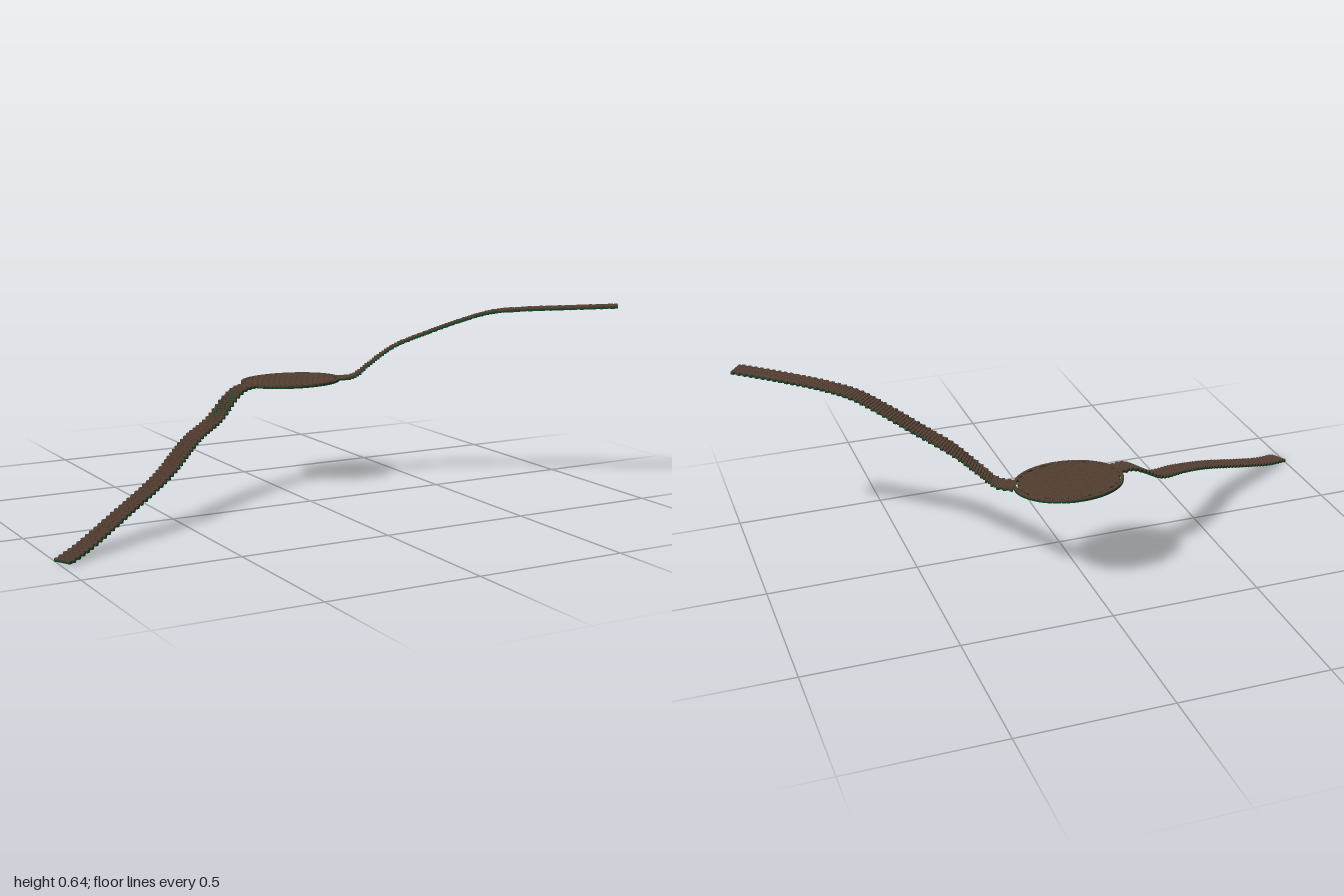
import * as THREE from 'three';
import { mergeGeometries } from 'three/addons/utils/BufferGeometryUtils.js';

const STONE = 0.004, MOSS = 0.006, GAP = 0.0007;
const stoneMat = new THREE.MeshStandardMaterial({ color: 0x543e32 });
const mossMat = new THREE.MeshStandardMaterial({ color: 0x0c4726 });

// A paving area: each brick is a stone slab on a mossy base of the same outline
function paving(name) {
  const stones = [], bases = [];
  return {
    // p is the middle of the brick, yaw turns its length l away from x
    brick(p, yaw, l, w) {
      const slab = (h, dy) => new THREE.BoxGeometry(l - GAP, h, w - GAP)
        .rotateY(yaw).translate(p.x, p.y + dy, p.z);
      stones.push(slab(STONE, MOSS / 2));
      bases.push(slab(MOSS, -STONE / 2));
    },
    build() {
      const group = new THREE.Group();
      group.name = name;
      const top = new THREE.Mesh(mergeGeometries(stones), stoneMat);
      top.name = name + 'Stones';
      const base = new THREE.Mesh(mergeGeometries(bases), mossMat);
      base.name = name + 'MossBase';
      group.add(top, base);
      return group;
    },
  };
}

// Stepped path: level rows of three bricks in running bond along a curve
function buildPath(name, points) {
  const curve = new THREE.CatmullRomCurve3(points.map(p => new THREE.Vector3(...p)), false, 'centripetal');
  const area = paving(name);
  const rows = Math.round(curve.getLength() / 0.0105);
  for (let i = 0; i < rows; i++) {
    const u = (i + 0.5) / rows;
    const p = curve.getPointAt(u), t = curve.getTangentAt(u);
    const depth = curve.getLength() / rows * Math.hypot(t.x, t.z) + GAP;
    t.setY(0).normalize();
    const across = new THREE.Vector3(-t.z, 0, t.x);
    const yaw = Math.atan2(-across.z, across.x);
    const shift = i % 2 ? 0.003 : -0.003;
    for (const k of [-1, 0, 1]) {
      area.brick(p.clone().addScaledVector(across, k * 0.0205 + shift), yaw, 0.0205, depth);
    }
  }
  return area.build();
}

// Oval terrace: herringbone bricks inside a ring of edging stones
function buildTerrace() {
  const area = paving('terrace');
  const cx = 0.06, cy = 0.369, cz = -0.254, rx = 0.18, rz = 0.135, s = 0.009;
  const place = (x, z, yaw) => {
    if ((x / (rx - 0.013)) ** 2 + (z / (rz - 0.013)) ** 2 < 1) {
      area.brick(new THREE.Vector3(cx + x, cy, cz + z), yaw, 2 * s, s);
    }
  };
  for (let i = -20; i <= 20; i++) {
    for (let j = -16; j <= 16; j++) {
      const d = (((i - j) % 4) + 4) % 4;
      if (d === 0) place((i + 0.5) * s, j * s, 0);
      if (d === 3) place(i * s, (j + 0.5) * s, Math.PI / 2);
    }
  }
  const ring = 72;
  for (let k = 0; k < ring; k++) {
    const a = (k / ring) * Math.PI * 2, c = Math.cos(a), n = Math.sin(a);
    const ex = rx - 0.005, ez = rz - 0.005;
    const length = Math.hypot(ex * n, ez * c) * Math.PI * 2 / ring;
    area.brick(new THREE.Vector3(cx + ex * c, cy, cz + ez * n),
      Math.atan2(-ez * c, -ex * n), length, 0.01);
  }
  return area.build();
}

export function createModel() {
  const model = new THREE.Group();
  model.name = 'gardenPath';
  model.add(
    buildTerrace(),
    // Path climbing from the low end to the terrace
    buildPath('lowerPath', [
      [-0.986, 0.006, 0.314], [-0.9, 0.03, 0.265], [-0.77, 0.081, 0.19], [-0.57, 0.163, 0.075],
      [-0.4, 0.243, -0.065], [-0.28, 0.284, -0.148], [-0.2, 0.342, -0.193], [-0.155, 0.365, -0.21], [-0.115, 0.369, -0.224],
    ]),
    // Path climbing from the terrace to the high end
    buildPath('upperPath', [
      [0.232, 0.368, -0.222], [0.28, 0.376, -0.2], [0.33, 0.42, -0.175], [0.4, 0.48, -0.133],
      [0.5, 0.537, -0.05], [0.567, 0.573, 0.013], [0.65, 0.61, 0.092], [0.727, 0.623, 0.163],
      [0.85, 0.632, 0.262], [0.983, 0.64, 0.36],
    ]),
  );
  return model;
}
